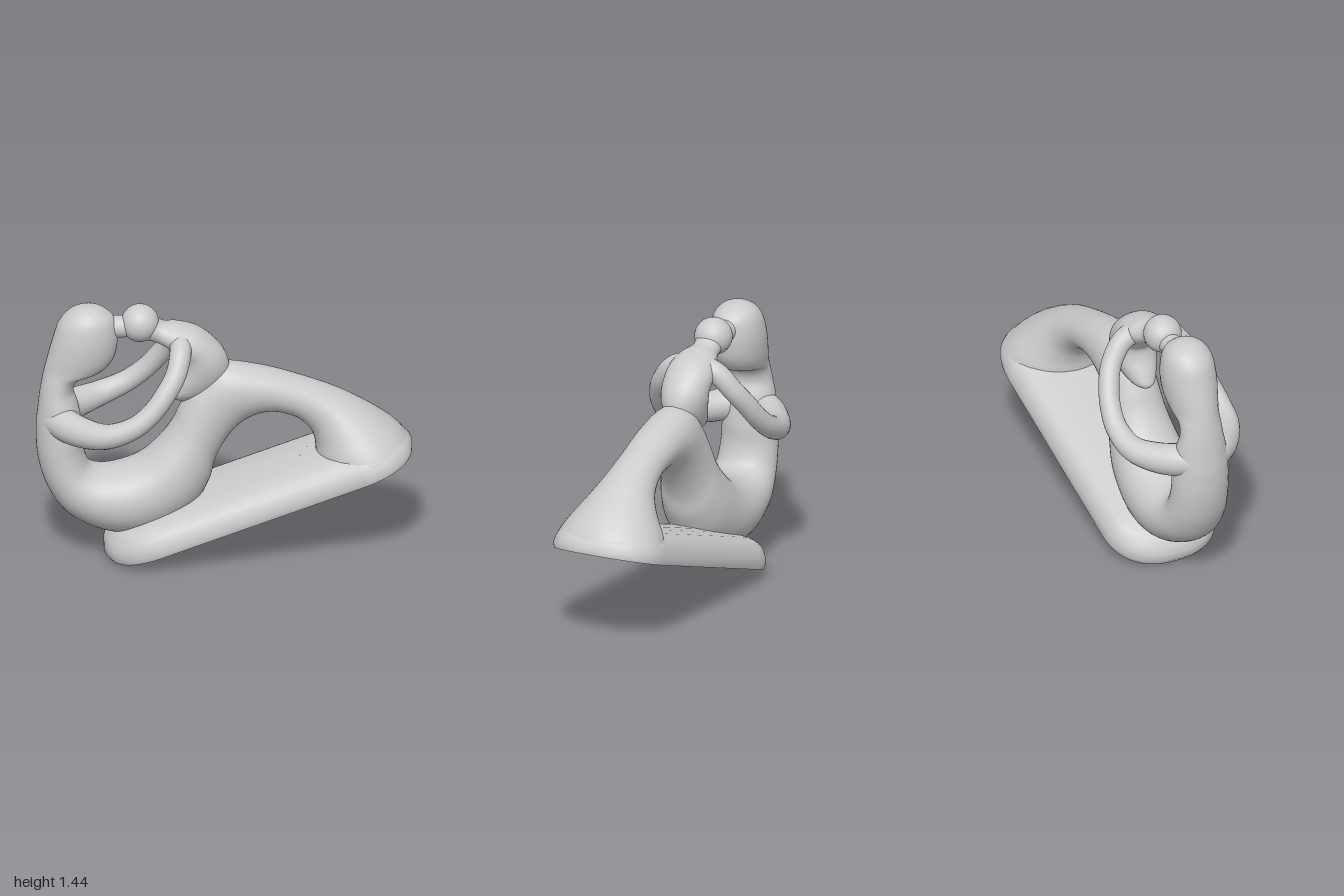
import * as THREE from 'three';

const material = new THREE.MeshStandardMaterial({ color: 0xcccccc });

// Smooth skin over a list of closed rings, each an array of [x, y, z]
function skin(name, rings) {
  const n = rings[0].length;
  const index = [];
  for (let i = 0; i < rings.length - 1; i++) {
    for (let j = 0; j < n; j++) {
      const a = i * n + j, b = i * n + (j + 1) % n;
      index.push(a, a + n, b, b, a + n, b + n);
    }
  }
  const geometry = new THREE.BufferGeometry();
  geometry.setAttribute('position', new THREE.Float32BufferAttribute(rings.flat(2), 3));
  geometry.setIndex(index);
  geometry.computeVertexNormals();
  const mesh = new THREE.Mesh(geometry, material);
  mesh.name = name;
  return mesh;
}

// Elliptical sections between two profile edges: [x1, y1, x2, y2, halfWidth]
function limb(name, stations, steps, sides = 40) {
  const edgeA = new THREE.CatmullRomCurve3(stations.map(s => new THREE.Vector3(s[0], s[1], s[4])), false, 'catmullrom');
  const edgeB = new THREE.CatmullRomCurve3(stations.map(s => new THREE.Vector3(s[2], s[3], 0)), false, 'catmullrom');
  const rings = [];
  for (let i = 0; i <= steps; i++) {
    const a = edgeA.getPoint(i / steps), b = edgeB.getPoint(i / steps);
    const ring = [];
    for (let j = 0; j < sides; j++) {
      const t = j / sides * Math.PI * 2;
      const k = (1 + Math.cos(t)) / 2;
      ring.push([b.x + (a.x - b.x) * k, b.y + (a.y - b.y) * k, a.z * Math.sin(t)]);
    }
    rings.push(ring);
  }
  return skin(name, rings);
}

// Round tube with a radius that varies along its path: [x, y, z, radius]
function taperedTube(name, points) {
  const path = new THREE.CatmullRomCurve3(points.map(p => new THREE.Vector3(p[0], p[1], p[2])));
  const radii = new THREE.CatmullRomCurve3(points.map(p => new THREE.Vector3(p[3], 0, 0)), false, 'catmullrom');
  const steps = 110, sides = 20;
  const geometry = new THREE.TubeGeometry(path, steps, 1, sides);
  const pos = geometry.attributes.position;
  const v = new THREE.Vector3();
  for (let i = 0; i <= steps; i++) {
    const centre = path.getPointAt(i / steps);
    const r = radii.getPoint(path.getUtoTmapping(i / steps)).x;
    for (let j = 0; j <= sides; j++) {
      const k = i * (sides + 1) + j;
      v.fromBufferAttribute(pos, k).sub(centre).multiplyScalar(r).add(centre);
      pos.setXYZ(k, v.x, v.y, v.z);
    }
  }
  const mesh = new THREE.Mesh(geometry, material);
  mesh.name = name;
  return mesh;
}

// Tilted slab with rounded ends, a flat underside and a softened rim
function plinth() {
  const sides = 96, half = 0.868, width = 0.318, power = 2 / 2.4;
  const ring = (inset, y) => Array.from({ length: sides }, (_, j) => {
    const t = j / sides * Math.PI * 2 + 0.001, c = Math.cos(t), s = Math.sin(t);
    const r = width - inset;
    const rEnd = width - 1.6 * inset;
    return [
      Math.sign(c) * (half - width + rEnd * Math.abs(c) ** power) * (r > 0 ? 1 : 0),
      y,
      Math.sign(s) * r * Math.abs(s) ** power,
    ];
  });
  const mesh = skin('plinth', [
    ring(width, 0), ring(0.008, 0), ring(0.008, 0), ring(0, 0.03), ring(0.008, 0.07),
    ring(0.025, 0.11), ring(0.055, 0.14), ring(0.1, 0.159), ring(0.17, 0.17), ring(0.25, 0.176), ring(width, 0.176),
  ]);
  mesh.position.set(0.19, 0.291, 0);
  mesh.rotation.z = Math.atan2(0.58, 1.63);
  return mesh;
}

export function createModel() {
  const model = new THREE.Group();
  model.name = 'motherAndChildSculpture';
  model.add(plinth());

  // Mother: head, back, hips, raised knee and foot in one flowing form
  model.add(limb('motherBody', [
    [-0.72, 1.445, -0.72, 1.445, 0],
    [-0.77, 1.44, -0.675, 1.44, 0.045],
    [-0.83, 1.41, -0.625, 1.415, 0.095],
    [-0.88, 1.35, -0.58, 1.365, 0.13],
    [-0.91, 1.26, -0.565, 1.26, 0.145],
    [-0.935, 1.17, -0.585, 1.15, 0.14],
    [-0.955, 1.09, -0.65, 1.075, 0.125],
    [-0.967, 1.03, -0.76, 1.04, 0.115],
    [-0.98, 0.95, -0.80, 0.97, 0.12],
    [-0.99, 0.86, -0.775, 0.88, 0.14],
    [-1.0, 0.74, -0.75, 0.73, 0.155],
    [-0.99, 0.58, -0.745, 0.62, 0.16],
    [-0.94, 0.41, -0.71, 0.53, 0.17],
    [-0.83, 0.255, -0.63, 0.505, 0.19],
    [-0.62, 0.15, -0.52, 0.53, 0.21],
    [-0.40, 0.15, -0.42, 0.585, 0.21],
    [-0.19, 0.26, -0.33, 0.68, 0.195],
    [-0.085, 0.41, -0.27, 0.77, 0.17],
    [-0.045, 0.55, -0.23, 0.86, 0.15],
    [0.02, 0.67, -0.16, 0.98, 0.14],
    [0.11, 0.765, -0.03, 1.09, 0.14],
    [0.24, 0.81, 0.19, 1.065, 0.13],
    [0.37, 0.78, 0.43, 0.99, 0.125],
    [0.45, 0.71, 0.63, 0.905, 0.15],
    [0.48, 0.64, 0.80, 0.80, 0.21],
    [0.49, 0.56, 0.915, 0.71, 0.27],
    [0.53, 0.49, 0.972, 0.642, 0.302],
    [0.56, 0.43, 0.99, 0.59, 0.306],
  ], 162));

  // Child: neck, back and seat resting on the knee
  model.add(limb('childBody', [
    [-0.46, 1.25, -0.41, 1.42, 0.08],
    [-0.37, 1.23, -0.33, 1.345, 0.075],
    [-0.31, 1.20, -0.24, 1.33, 0.11],
    [-0.26, 1.15, -0.13, 1.295, 0.13],
    [-0.23, 1.11, -0.03, 1.21, 0.13],
    [-0.24, 1.05, 0.02, 1.12, 0.125],
    [-0.28, 0.97, 0.02, 1.03, 0.105],
    [-0.295, 0.91, -0.05, 0.94, 0.07],
    [-0.22, 0.87, -0.18, 0.87, 0.01],
  ], 64));

  const childHead = new THREE.Mesh(new THREE.SphereGeometry(0.102, 32, 24), material);
  childHead.name = 'childHead';
  childHead.position.set(-0.447, 1.337, 0);
  model.add(childHead);

  // Short bridge where the two faces touch
  const faceBridge = new THREE.Mesh(new THREE.CylinderGeometry(0.06, 0.06, 0.12, 24), material);
  faceBridge.name = 'faceBridge';
  faceBridge.position.set(-0.56, 1.32, 0);
  faceBridge.rotation.z = Math.PI / 2;
  model.add(faceBridge);

  // Linked arms: one ring from the child's shoulders around the mother's back
  const arm = [
    [-0.235, 1.25, 0.04, 0.06],
    [-0.24, 1.215, 0.13, 0.058],
    [-0.27, 1.12, 0.21, 0.056],
    [-0.325, 1.035, 0.257, 0.056],
    [-0.40, 0.94, 0.288, 0.056],
    [-0.50, 0.86, 0.302, 0.059],
    [-0.64, 0.805, 0.28, 0.068],
    [-0.77, 0.795, 0.195, 0.082],
    [-0.86, 0.805, 0.10, 0.088],
  ];
  const otherArm = arm.map(([x, y, z, r]) => [x, y, -z, r]).reverse();
  model.add(taperedTube('linkedArms', [...arm, [-0.91, 0.81, 0, 0.084], ...otherArm]));
  return model;
}
